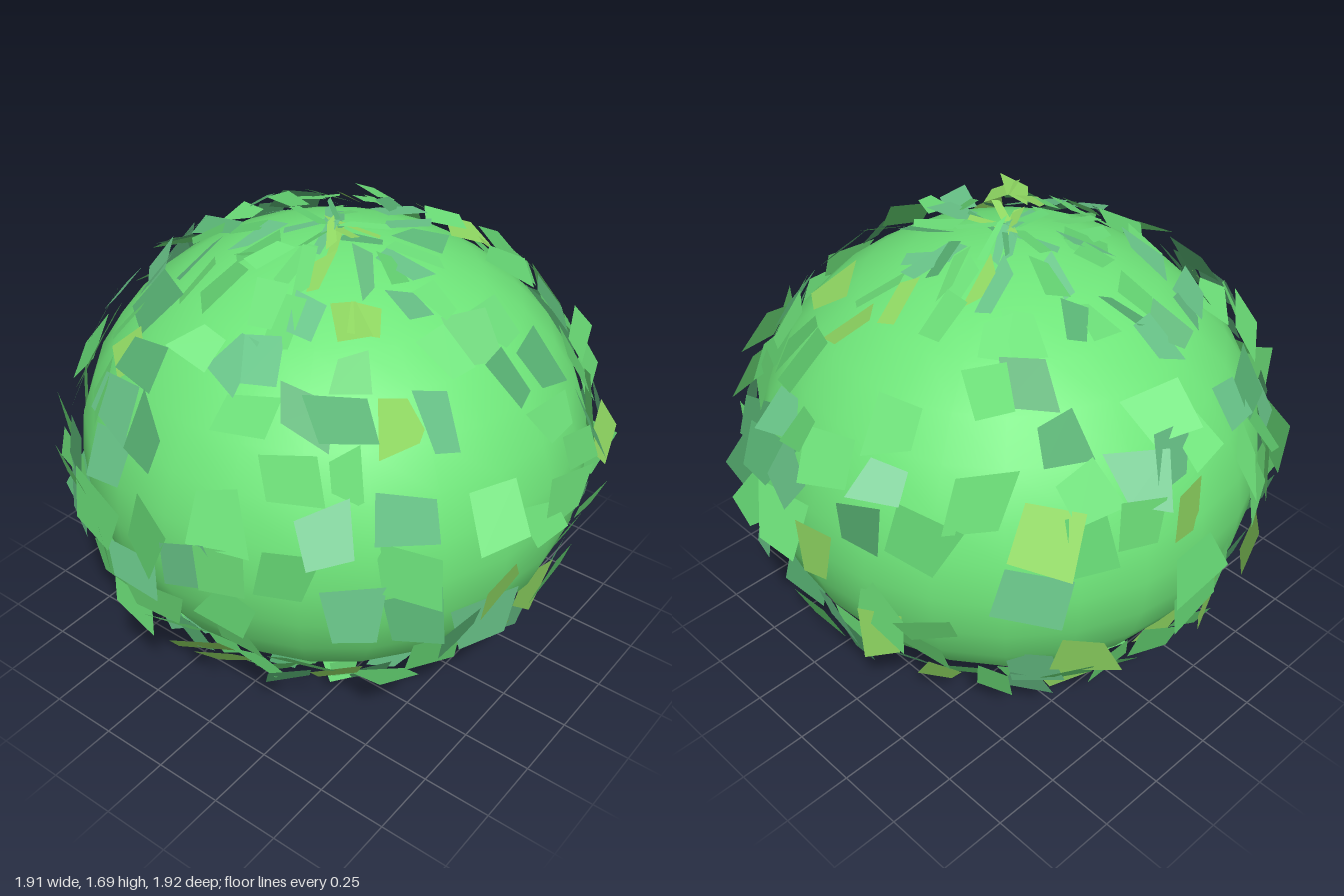
import * as THREE from 'three';

const CENTRE = new THREE.Vector3(-0.02, 0.838, 0);
const COLUMNS = 32, ROWS = 16;
const LOW = new THREE.Vector3(-1, 0, -1), HIGH = new THREE.Vector3(1, 1.7, 1);

// Small seeded generator: values in -1..1
function makeRandom(seed) {
  return () => {
    seed = (Math.imul(seed, 1664525) + 1013904223) >>> 0;
    return (seed / 4294967296) * 2 - 1;
  };
}

// Four corners of one leaf card, lying just off the ellipsoid
function leafCorners(lon, lat, rand) {
  const ring = Math.cos(lat);
  const out = new THREE.Vector3(
    Math.sin(lon) * ring / 0.92, Math.sin(lat) / 0.8, Math.cos(lon) * ring / 0.92).normalize();
  const east = new THREE.Vector3(Math.cos(lon), 0, -Math.sin(lon));
  const north = new THREE.Vector3().crossVectors(out, east);
  const centre = new THREE.Vector3(
    0.92 * Math.sin(lon) * ring, 0.8 * Math.sin(lat), 0.92 * Math.cos(lon) * ring)
    .multiplyScalar(1 + 0.02 * rand()).add(CENTRE);
  const place = new THREE.Matrix4().makeBasis(east, north, out)
    .multiply(new THREE.Matrix4().makeRotationFromEuler(
      new THREE.Euler(0.36 * rand(), 0.38 * rand(), 0.3 * rand())))
    .setPosition(centre);

  // Leaves narrow towards the poles
  const w = 0.006 + 0.088 * ring;
  const h = 0.08;
  return [[-1, -1], [1, -1], [1, 1], [-1, 1]].map(([x, y]) =>
    new THREE.Vector3(w * (x + 0.5 * rand()), h * (y + 0.45 * rand()), 0)
      .applyMatrix4(place).clamp(LOW, HIGH));
}

export function createModel() {
  const model = new THREE.Group();
  model.name = 'bush';
  const rand = makeRandom(4711);

  // Smooth rounded body
  const body = new THREE.Mesh(
    new THREE.SphereGeometry(1, 24, 16),
    new THREE.MeshStandardMaterial({ color: 0x6fe67a }));
  body.name = 'body';
  body.scale.set(0.885, 0.755, 0.88);
  body.position.copy(CENTRE);
  model.add(body);

  // Leaf cards scattered over a latitude grid, sorted by tint
  const tints = [0x6ee27a, 0x62d070, 0x68c488, 0x58b273, 0x92dc64];
  const chance = [0.3, 0.52, 0.74, 0.88, 1];
  const cards = tints.map(() => []);
  for (let row = 0; row < ROWS; row++) {
    for (let col = 0; col < COLUMNS; col++) {
      if (rand() > 0.2) continue;
      const lat = Math.PI * ((row + 0.5) / ROWS - 0.5) + 0.03 * rand();
      const lon = 2 * Math.PI * (col + 0.5 + 0.25 * rand()) / COLUMNS;
      const pick = (rand() + 1) / 2;
      const tint = chance.findIndex((c) => pick <= c);
      const [a, b, c, d] = leafCorners(lon, lat, rand);
      cards[tint].push(a, b, c, a, c, d);
    }
  }

  const leaves = new THREE.Group();
  leaves.name = 'leaves';
  cards.forEach((points, i) => {
    const geometry = new THREE.BufferGeometry().setFromPoints(points);
    geometry.computeVertexNormals();
    const mesh = new THREE.Mesh(geometry, new THREE.MeshStandardMaterial({
      color: tints[i], flatShading: true, side: THREE.DoubleSide }));
    mesh.name = `leavesTint${i + 1}`;
    leaves.add(mesh);
  });
  model.add(leaves);
  return model;
}
